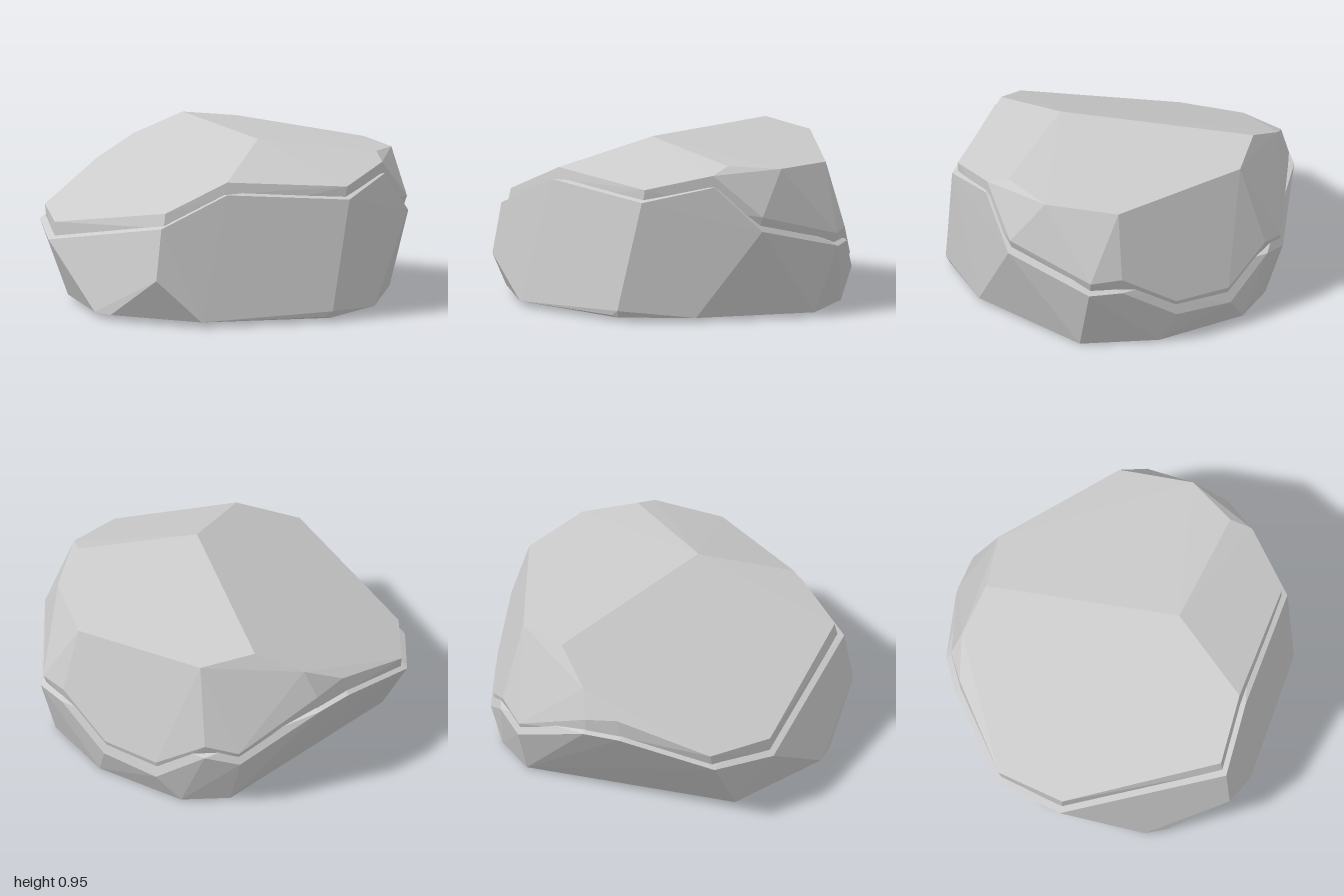
import * as THREE from 'three';
import { ConvexGeometry } from 'three/addons/geometries/ConvexGeometry.js';

const material = new THREE.MeshStandardMaterial({ color: 0xcccccc, flatShading: true });

// Corners of the flat underside
const underside = [
  [0.51, 0.01, -0.73], [0.73, 0, -0.56], [0.91, 0, -0.05], [0.87, 0, 0.4],
  [0.3, 0.02, 0.87], [-0.13, 0.02, 0.96], [-0.17, 0.03, 0.95], [-0.79, 0.03, 0.6],
  [-1, 0.03, 0.08], [-1, 0.03, -0.05], [-0.7, 0.02, -0.58],
];

// Wavy ledge that runs round the rock, top edge of the lower block
const ledge = [
  [-0.94, 0.56, 0.43], [-0.6, 0.735, 0.61], [0.01, 0.68, 0.97], [0.4, 0.765, 0.85],
  [0.66, 0.51, 0.77], [1, 0.38, 0.37], [1, 0.38, 0.18], [0.95, 0.18, -0.14],
  [0.84, 0.16, -0.47], [0.68, 0.36, -0.71], [0.52, 0.31, -0.83], [0.06, 0.56, -0.98],
  [-0.15, 0.57, -0.97], [-0.68, 0.42, -0.83], [-0.91, 0.37, -0.52],
];

// Extra corners low on the front and left sides
const lowCorners = [[-0.99, 0.27, 0.44], [-0.13, 0.06, 0.98]];

// Lower rim of the upper block, just inside the ledge
const rim = [
  [-0.89, 0.64, 0.41], [-0.57, 0.8, 0.58], [0.02, 0.75, 0.94], [0.39, 0.83, 0.84],
  [0.66, 0.59, 0.76], [0.99, 0.45, 0.36], [0.99, 0.46, 0.18], [0.94, 0.26, -0.14],
  [0.83, 0.25, -0.46], [0.67, 0.43, -0.7], [0.52, 0.38, -0.82], [0.06, 0.64, -0.95],
  [-0.13, 0.68, -0.94], [-0.65, 0.5, -0.82], [-0.88, 0.47, -0.5],
];

// Corners of the sloping top facets
const crown = [
  [-0.09, 0.955, 0.33], [0.31, 0.92, -0.7], [0.6, 0.88, -0.57], [0.88, 0.825, 0.18],
  [0.72, 0.84, 0.57], [0.45, 0.87, 0.73], [0.1, 0.8, -0.88],
];

function block(name, corners) {
  const points = corners.map((c) => new THREE.Vector3(...c));
  const mesh = new THREE.Mesh(new ConvexGeometry(points), material);
  mesh.name = name;
  return mesh;
}

export function createModel() {
  const rock = new THREE.Group();
  rock.name = 'rock';
  // The upper block's foot sinks slightly inside the ledge
  const foot = ledge.map(([x, y, z]) => [x * 0.965, y, z * 0.965]);
  rock.add(
    block('lowerRock', [...underside, ...lowCorners, ...ledge]),
    block('upperRock', [...foot, ...rim, ...crown]),
  );
  return rock;
}
